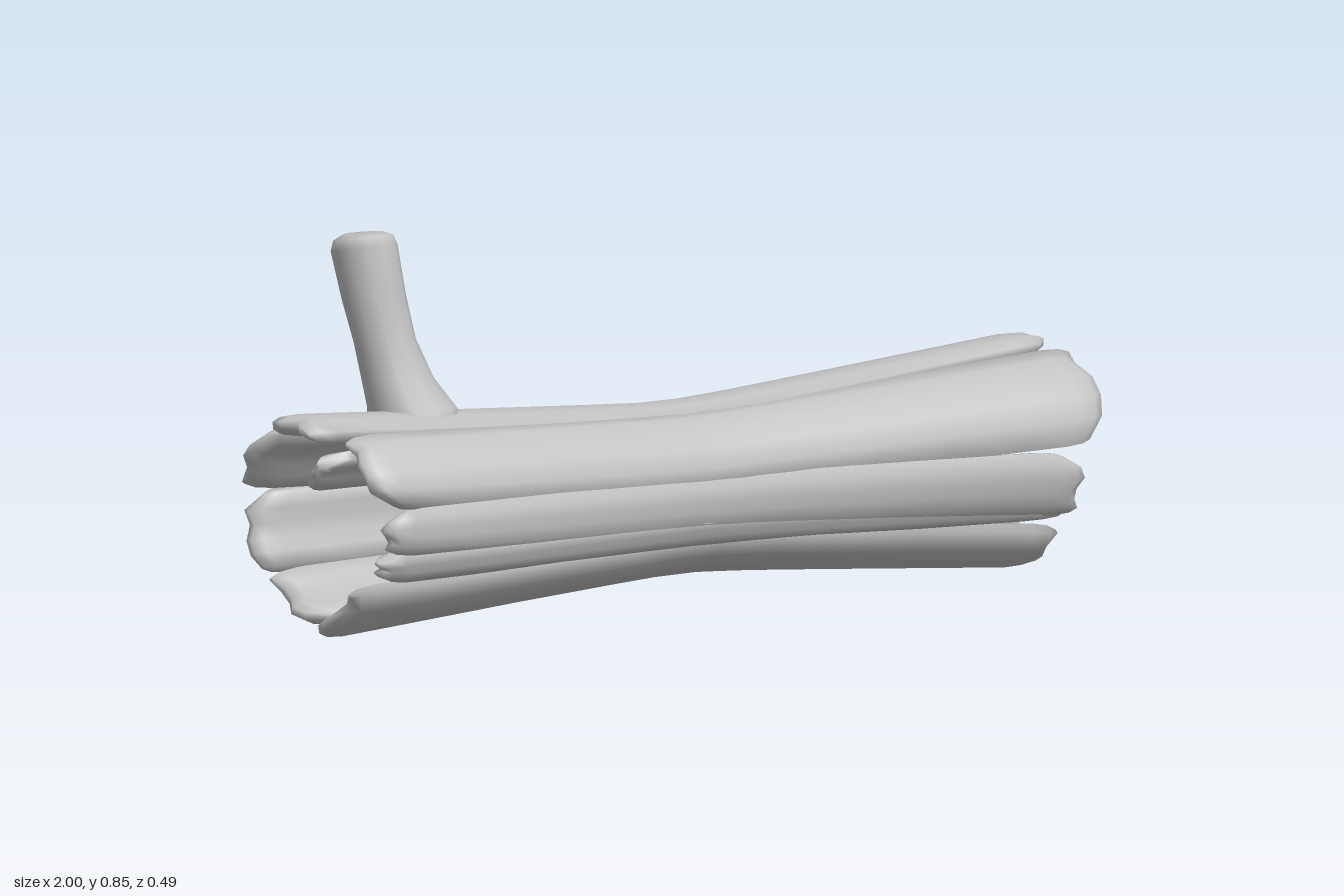
import * as THREE from 'three';

// Skin a list of cross-section rings (counter-clockwise about the path) and close both ends
function loft(rings) {
  const n = rings[0].length, last = (rings.length - 1) * n, index = [];
  for (let i = 0; i < rings.length - 1; i++) {
    for (let j = 0; j < n; j++) {
      const a = i * n + j, b = i * n + (j + 1) % n;
      index.push(a, b, b + n, a, b + n, a + n);
    }
  }
  for (let j = 0; j < n / 2 - 1; j++) {
    const k = n - 1 - j;
    index.push(last + j, last + j + 1, last + k - 1, last + j, last + k - 1, last + k);
    index.push(j + 1, j, k - 1, k - 1, j, k);
  }
  const geo = new THREE.BufferGeometry();
  geo.setAttribute('position', new THREE.Float32BufferAttribute(rings.flat(2), 3));
  geo.setIndex(index);
  geo.computeVertexNormals();
  return geo;
}

// Log axis and radius: narrow waist, flared ends
const mix = THREE.MathUtils.lerp;
const trunk = (x) => {
  const s = Math.sqrt(x * x + 0.008);
  return {
    y: 0.262 - 0.007 * x,
    z: (x < 0 ? 0.02 : 0.002) * s + 0.03 * (1 - s),
    r: mix(0.178, x < 0 ? 0.236 : 0.25, Math.min(s, 1)),
  };
};

// One curved bark stave; angles in degrees from the top towards the front
function stave({ left, right, x0, x1, offset = [0, 0], thick = 0.047, seed = 1 }) {
  const steps = [0, 0.012, 0.035, 0.12, 0.22, 0.32, 0.41, 0.47, 0.53, 0.6, 0.7, 0.8, 0.9, 0.965, 0.988, 1];
  const m = 6, rings = [];
  const jag = (k, s) => 0.022 * (1 + Math.sin(k * 1.9 + s * 2.3));
  for (const t of steps) {
    const end = Math.min(t, 1 - t);
    const round = end < 0.005 ? 0.35 : end < 0.02 ? 0.8 : 1;
    const ring = [];
    for (let j = 0; j < 2 * m; j++) {
      const outer = j < m, k = outer ? j : 2 * m - 1 - j;
      const u = k / (m - 1);
      const edge = k === 0 || k === m - 1;
      const lo = x0 + jag(k, seed) * (edge ? 1.3 : 0.5);
      const hi = x1 - jag(k, seed + 3) * (edge ? 1.3 : 0.5);
      const x = mix(k === 2 ? x0 : lo, k === 2 ? x1 : hi, t);
      const w = THREE.MathUtils.clamp((x + 1) / 2, 0, 1);
      // staves overlap at the waist and part slightly at the ends
      const lap = 6 * (1 - Math.abs(x)) - 1 - (1 - round) * 4;
      const a0 = mix(left[0], right[0], w) - lap, a1 = mix(left[1], right[1], w) + lap;
      const a = THREE.MathUtils.degToRad(mix(a0, a1, u));
      const c = trunk(x);
      const off = (x < 0 ? offset[0] : offset[1]) * Math.abs(x);
      const half = thick / 2 * round * (edge ? 0.6 : 1);
      const r = c.r + off - thick / 2 + (outer ? half : -half);
      ring.push([x, c.y + r * Math.cos(a), c.z + r * Math.sin(a)]);
    }
    rings.push(ring);
  }
  return loft(rings);
}

export function createModel() {
  const group = new THREE.Group();
  const bark = new THREE.MeshStandardMaterial({ color: 0xc0c0c0 });
  bark.name = 'greyBark';
  const add = (name, geo) => {
    const mesh = new THREE.Mesh(geo, bark);
    mesh.name = name;
    group.add(mesh);
  };

  // Staves forming the hollow trunk, plus two inner splinters
  const staves = {
    topStave: { left: [-25, 23], right: [-20, 13], x0: -1, x1: 0.965, offset: [0.005, 0], seed: 1 },
    upperFrontStave: { left: [25, 75], right: [14, 82], x0: -0.915, x1: 1, offset: [0, -0.015], seed: 2 },
    frontStave: { left: [75, 100], right: [84, 122], x0: -0.9, x1: 0.925, offset: [0.005, -0.005], seed: 3 },
    lowerFrontStave: { left: [99, 119], right: [112, 126], x0: -0.905, x1: 0.9, offset: [0, -0.015], seed: 4 },
    bottomStave: { left: [121, 178], right: [130, 196], x0: -0.97, x1: 0.905, offset: [0.012, 0.012], seed: 5 },
    lowerBackStave: { left: [179, 232], right: [201, 242], x0: -0.93, x1: 0.93, seed: 6 },
    backStave: { left: [232, 284], right: [241, 288], x0: -0.96, x1: 0.975, offset: [-0.01, 0], seed: 7 },
    upperBackStave: { left: [285, 336], right: [287, 341], x0: -0.985, x1: 0.98, seed: 8 },
    innerBottomSplinter: { left: [140, 185], right: [128, 192], x0: -0.1, x1: 0.84, offset: [-0.02, -0.045], thick: 0.035, seed: 9 },
    innerBackSplinter: { left: [290, 328], right: [292, 330], x0: -0.85, x1: -0.1, offset: [-0.075, 0], thick: 0.035, seed: 10 },
  };
  for (const [name, spec] of Object.entries(staves)) add(name, stave(spec));

  // Broken branch stub leaning up and back: x, y, z, radius, tilt of the cut
  const path = [
    [-0.625, 0.43, -0.015, 0.115, 0], [-0.645, 0.49, -0.022, 0.094, 0], [-0.668, 0.55, -0.04, 0.077, 0],
    [-0.687, 0.63, -0.06, 0.066, 0.1], [-0.7, 0.72, -0.081, 0.068, 0.15], [-0.71, 0.825, -0.103, 0.071, 0.2],
    [-0.711, 0.846, -0.105, 0.064, 0.18], [-0.71, 0.856, -0.106, 0.044, 0.12],
  ];
  add('branchStub', loft(path.map(([x, y, z, r, tilt]) =>
    Array.from({ length: 12 }, (_, i) => {
      const a = i / 12 * Math.PI * 2, dz = r * Math.cos(a);
      return [x + r * Math.sin(a), y + tilt * dz, z + dz];
    }))));

  return group;
}
